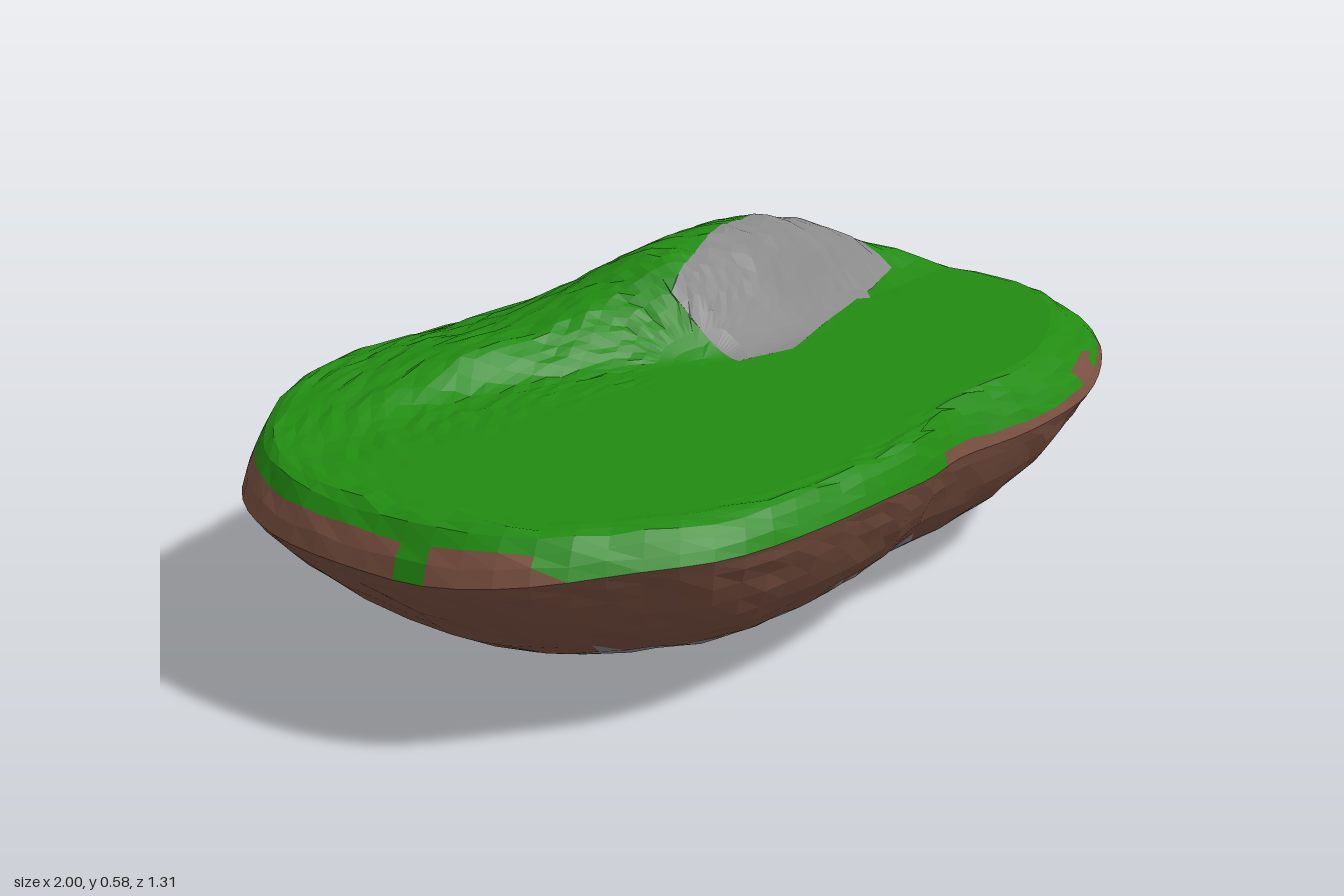
import * as THREE from 'three';

const SEGMENTS = 84, BOTTOM_ROWS = 15, TOP_ROWS = 34;
const KEEL = new THREE.Vector3(-0.12, 0, 0.07);
const MEADOW = new THREE.Vector3(0, 0, 0.03);

// shoreline, as [x, z] pairs
const OUTLINE = [
  [1, 0.05], [0.98, 0.2], [0.91, 0.33], [0.75, 0.45], [0.55, 0.54], [0.35, 0.57], [0.1, 0.575],
  [-0.1, 0.63], [-0.4, 0.65], [-0.65, 0.62], [-0.8, 0.53], [-0.92, 0.43], [-0.98, 0.3], [-1, 0.15],
  [-0.98, -0.1], [-0.9, -0.27], [-0.78, -0.39], [-0.63, -0.48], [-0.4, -0.56], [-0.2, -0.64],
  [-0.1, -0.655], [0.05, -0.63], [0.4, -0.51], [0.65, -0.38], [0.85, -0.25], [0.95, -0.13],
];
// hill by x: [x, crest height, z of the crest, z of the front foot]
const HILL = [
  [-1, 0.4, -0.2, -0.16], [-0.72, 0.415, -0.25, -0.18], [-0.5, 0.44, -0.25, -0.18],
  [-0.35, 0.465, -0.24, -0.17], [-0.2, 0.465, -0.22, -0.1], [0, 0.52, -0.2, 0.02],
  [0.1, 0.565, -0.18, 0.09], [0.3, 0.58, -0.18, 0.08], [0.45, 0.57, -0.19, 0.03],
  [0.6, 0.53, -0.18, -0.01], [0.75, 0.46, -0.16, -0.02], [0.9, 0.4, -0.08, 0.02], [1, 0.36, -0.03, 0.05],
];
// bare rock on the hill, seen from above
const ROCK = [[0.06, -0.09], [0.07, 0.07], [0.2, 0.1], [0.42, 0.03], [0.74, -0.06], [0.74, -0.18], [0.5, -0.2], [0.3, -0.17]]
  .map(([x, z]) => new THREE.Vector3(x, 0, z));
const ROCK_EDGES = ROCK.map((p, i) => new THREE.Line3(p, ROCK[(i + 1) % ROCK.length]));

const { lerp, smoothstep, clamp } = THREE.MathUtils;

function hash(a, b) {
  const s = Math.sin(a * 127.1 + b * 311.7) * 43758.5453;
  return (s - Math.floor(s)) * 2 - 1;
}

function hillAt(x) {
  let k = 0;
  while (k < HILL.length - 2 && x > HILL[k + 1][0]) k++;
  const t = clamp((x - HILL[k][0]) / (HILL[k + 1][0] - HILL[k][0]), 0, 1);
  return HILL[k].map((v, i) => lerp(v, HILL[k + 1][i], t));
}

// rises from the back shoulder to the crest, then drops steeply to the meadow
function landHeight(x, z) {
  const [, crest, crestZ, footZ] = hillAt(x);
  if (z < crestZ) {
    const shoulder = lerp(Math.min(0.42, crest), 0.36, smoothstep(crestZ - z, 0.22, 0.45));
    return lerp(shoulder, crest, smoothstep(z, crestZ - 0.33, crestZ));
  }
  const meadow = Math.min(0.405, crest);
  return lerp(crest, meadow, Math.pow(smoothstep(z, crestZ, footZ), 1.25));
}

// the shore is highest at the front left
function rimHeight(p) {
  return 0.308 + 0.037 * smoothstep(p.z, 0.2, 0.6) * smoothstep(-p.x, -0.3, 0.3);
}

// pull points lying close to the rock's border onto it
function snapToRock(point) {
  const near = new THREE.Vector3();
  for (const edge of ROCK_EDGES) {
    edge.closestPointToPoint(point, true, near);
    if (near.distanceTo(point) < 0.015) return point.copy(near);
  }
  return point;
}

function insideRock(x, z) {
  let hit = false;
  for (const { start: a, end: b } of ROCK_EDGES) {
    if ((a.z > z) !== (b.z > z) && x < a.x + ((z - a.z) * (b.x - a.x)) / (b.z - a.z)) hit = !hit;
  }
  return hit;
}

// rings from the lowest point out to the rim, then in over the land
function buildRows() {
  const curve = new THREE.CatmullRomCurve3(OUTLINE.map(([x, z]) => new THREE.Vector3(x, 0, z)), true);
  const edge = curve.getSpacedPoints(SEGMENTS).slice(0, SEGMENTS);
  const rows = [];
  // shallow keel turning up to a steep front and a sloping back
  for (let j = 0; j <= BOTTOM_ROWS; j++) {
    const s = Math.sin((j / BOTTOM_ROWS) * Math.PI / 2);
    rows.push(edge.map((p, i) => {
      const wobble = j > 4 && j < BOTTOM_ROWS - 1 ? hash(i, j) * 0.006 : 0;
      const power = 4.5 + (p.z > 0 ? 1 : 2) * (p.z / 0.65);
      const v = KEEL.clone().lerp(p, s + wobble);
      v.y = rimHeight(p) * (0.3 * s + 0.7 * Math.pow(s, power));
      return v;
    }));
  }
  // grassy bank, meadow and hill
  for (let k = 1; k <= TOP_ROWS; k++) {
    const s = 1 - Math.pow(k / TOP_ROWS, 1.25);
    rows.push(edge.map((p, i) => {
      const v = snapToRock(MEADOW.clone().lerp(p, s));
      const bank = 0.055 + 0.07 * smoothstep(p.x, -0.1, 0.5);
      const t = Math.pow(clamp((1 - s) / bank, 0, 1), 0.7);
      const rough = 1 - smoothstep(v.z, -0.15, 0.1) * smoothstep(1 - s, 0.08, 0.16);
      const bump = s > 0.12 ? hash(i, k + 50) * 0.004 * rough : 0;
      v.y = lerp(rimHeight(p), landHeight(v.x, v.z), t) + bump;
      return v;
    }));
  }
  return rows;
}

// which part a face belongs to
function partOf(c, row) {
  if (row < BOTTOM_ROWS) {
    const flank = 0.09 * smoothstep(c.x, 0.1, 0.75) * smoothstep(c.z, -0.2, 0);
    const limit = (0.125 + flank + 0.015 * Math.sin(c.x * 9 + c.z * 5)) * smoothstep(c.z, -0.55, -0.15);
    return c.y < limit && c.x > -0.72 ? 'undersideRock' : 'soil';
  }
  // the soil lip is taller towards the back and at two notches
  const notch = (Math.abs(c.x - 0.62) < 0.07 && c.z > 0.35) || (c.x < -0.9 && c.z > 0.25);
  const lip = (c.z < 0.2 ? 2 : c.x > 0 ? 1 : 0) + (notch ? 2 : 0);
  if (row < BOTTOM_ROWS + lip) return 'soil';
  return insideRock(c.x, c.z) ? 'hillRock' : 'grass';
}

export function createModel() {
  const island = new THREE.Group();
  island.name = 'floatingIsland';
  const colors = { grass: 0x228b12, soil: 0x7a5040, hillRock: 0x888888, undersideRock: 0x888888 };
  const faces = { grass: [], soil: [], hillRock: [], undersideRock: [] };
  const rows = buildRows();

  const addFace = (row, a, b, c) => {
    const mid = new THREE.Vector3().add(a).add(b).add(c).divideScalar(3);
    faces[partOf(mid, row)].push(a, b, c);
  };
  for (let j = 0; j < rows.length - 1; j++) {
    for (let i = 0; i < SEGMENTS; i++) {
      const n = (i + 1) % SEGMENTS;
      const a = rows[j][i], b = rows[j][n], c = rows[j + 1][n], d = rows[j + 1][i];
      if (j > 0) addFace(j, a, c, b);
      if (j < rows.length - 2) addFace(j, a, d, c);
    }
  }

  for (const [name, points] of Object.entries(faces)) {
    const geometry = new THREE.BufferGeometry().setFromPoints(points);
    geometry.computeVertexNormals();
    const material = new THREE.MeshStandardMaterial({ color: colors[name], flatShading: true });
    const mesh = new THREE.Mesh(geometry, material);
    mesh.name = name;
    island.add(mesh);
  }
  return island;
}
